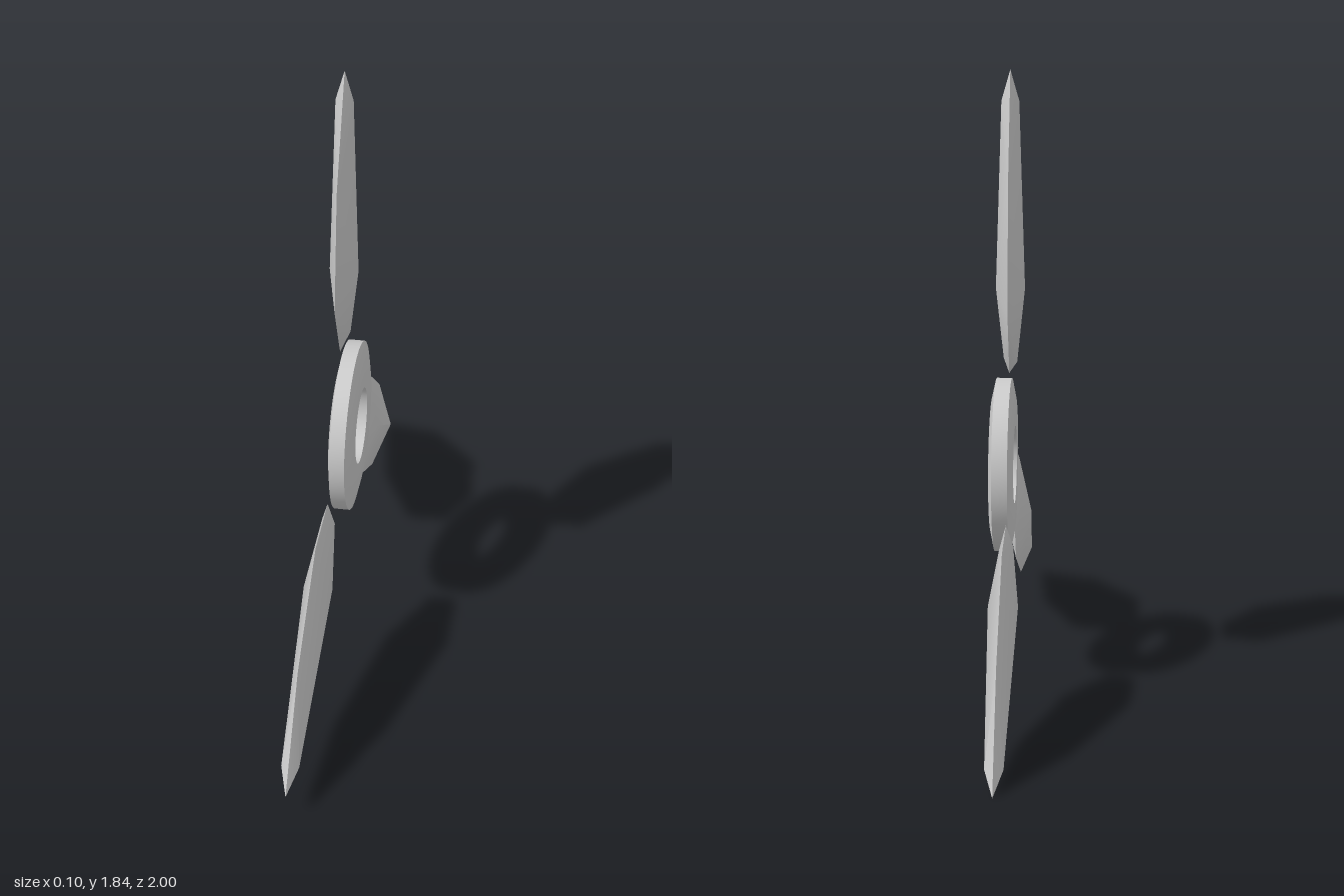
import * as THREE from 'three';
import { toCreasedNormals } from 'three/addons/utils/BufferGeometryUtils.js';

const material = new THREE.MeshStandardMaterial({ color: 0xcccccc, side: THREE.DoubleSide });

// Flat ring with slightly tapered faces, its axis along x
function createHub() {
  const profile = [
    [0.117, -0.02], [0.205, -0.02], [0.26, -0.009], [0.26, 0.037],
    [0.205, 0.049], [0.117, 0.049], [0.117, -0.02],
  ].map(([r, h]) => new THREE.Vector2(r, h));
  const geometry = new THREE.LatheGeometry(profile, 64).rotateZ(-Math.PI / 2);
  const hub = new THREE.Mesh(toCreasedNormals(geometry, Math.PI / 5), material);
  hub.name = 'hubRing';
  hub.position.set(0, 0.67, -0.025);
  return hub;
}

// Blade along +y: diamond sections with sharp side edges and a raised ridge on both faces
function createBladeGeometry() {
  // [edge height, half width, ridge height, half thickness]
  const stations = [
    [0, 0.0725, 0.03, 0.02],
    [0.19, 0.172, 0.24, 0.043],
    [0.56, 0.138, 0.79, 0.026],
  ];
  const points = [];
  stations.forEach(([edgeY, w, ridgeY, d], i) => {
    const backY = i === 0 ? ridgeY - 0.012 : ridgeY;
    points.push(0, edgeY, w, d, ridgeY, 0, 0, edgeY, -w, -d, backY, 0);
  });
  points.push(0, 0.88, 0);

  const index = [];
  const tip = stations.length * 4;
  for (let s = 0; s < stations.length; s++) {
    for (let k = 0; k < 4; k++) {
      const a = s * 4 + k, b = s * 4 + (k + 1) % 4;
      if (s === stations.length - 1) index.push(a, b, tip);
      // split each face so that both halves mirror across the ridge
      else if (k % 2 === 0) index.push(a, b, a + 4, b, b + 4, a + 4);
      else index.push(a, b, b + 4, a, b + 4, a + 4);
    }
  }
  index.push(0, 2, 1, 0, 3, 2); // notched root

  const geometry = new THREE.BufferGeometry();
  geometry.setAttribute('position', new THREE.Float32BufferAttribute(points, 3));
  geometry.setIndex(index);
  return toCreasedNormals(geometry, Math.PI / 4);
}

export function createModel() {
  const group = new THREE.Group();
  group.name = 'rotor';
  group.add(createHub());

  // Root position (y, z) and angle from vertical towards +z
  const bladeGeometry = createBladeGeometry();
  const blades = [
    ['upperBlade', 0.97, -0.038, -0.8],
    ['frontBlade', 0.5175, 0.2325, 119.1],
    ['backBlade', 0.5, -0.265, -124],
  ];
  for (const [name, y, z, angle] of blades) {
    const blade = new THREE.Mesh(bladeGeometry, material);
    blade.name = name;
    blade.position.set(-0.007, y, z);
    blade.rotation.x = THREE.MathUtils.degToRad(angle);
    group.add(blade);
  }
  return group;
}
